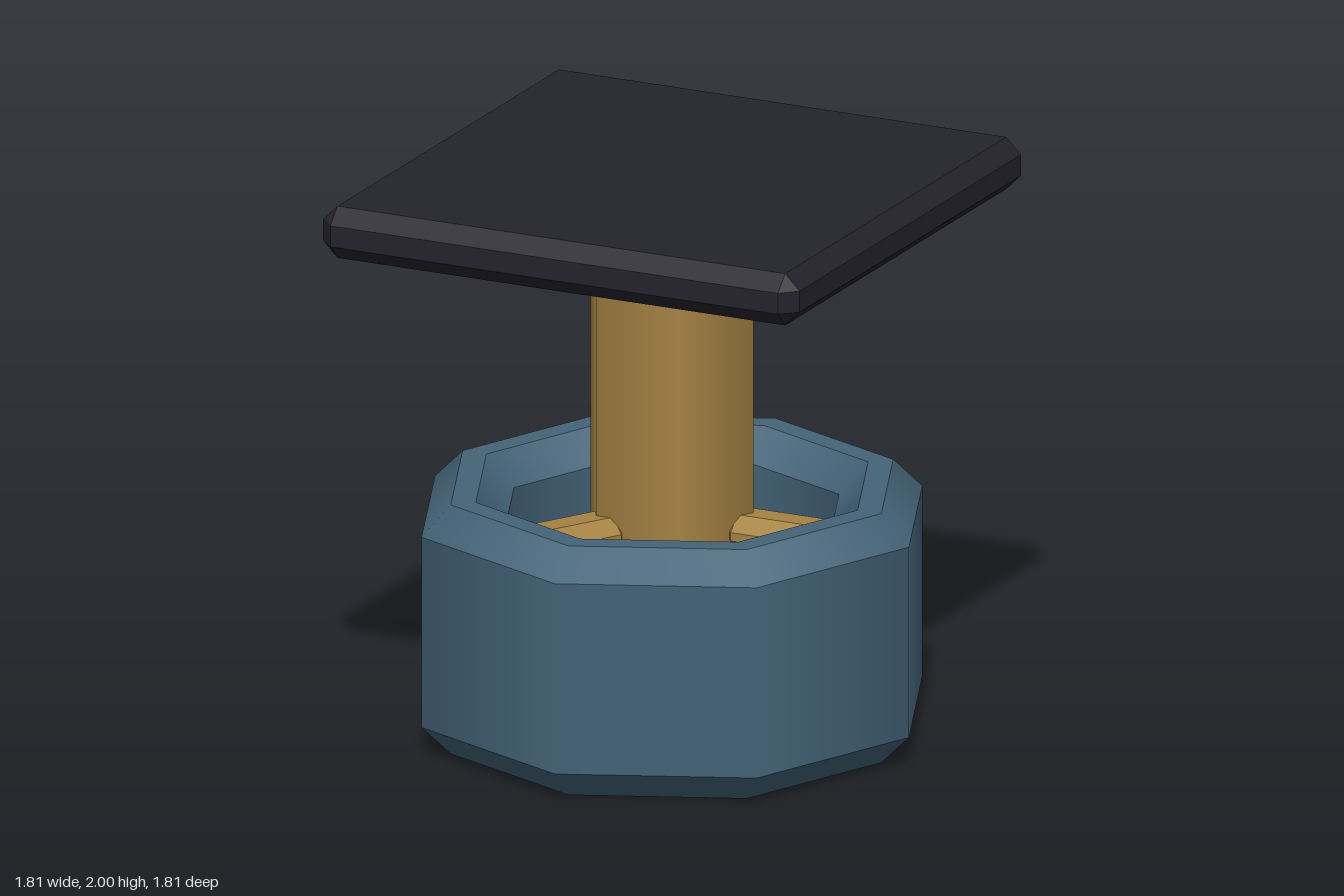
import * as THREE from 'three';
import { mergeGeometries } from 'three/addons/utils/BufferGeometryUtils.js';
import { ConvexGeometry } from 'three/addons/geometries/ConvexGeometry.js';

const material = (name, color) => {
  const m = new THREE.MeshStandardMaterial({ color });
  m.name = name;
  return m;
};

// Box with all edges and corners cut by c
function chamferBox(w, h, d, c) {
  const pts = [];
  for (const sx of [-1, 1]) for (const sy of [-1, 1]) for (const sz of [-1, 1]) {
    const x = w / 2, y = h / 2, z = d / 2;
    pts.push(
      new THREE.Vector3(sx * x, sy * (y - c), sz * (z - c)),
      new THREE.Vector3(sx * (x - c), sy * y, sz * (z - c)),
      new THREE.Vector3(sx * (x - c), sy * (y - c), sz * z));
  }
  return new ConvexGeometry(pts);
}

// Prism turned from a profile: smooth around the axis, sharp between profile segments
function turned(profile, sides, start = 0) {
  const bands = [];
  for (let i = 0; i < profile.length - 1; i++) {
    const pair = [profile[i], profile[i + 1]].map(([r, y]) => new THREE.Vector2(r, y));
    bands.push(new THREE.LatheGeometry(pair, sides, start));
  }
  return mergeGeometries(bands);
}

export function createModel() {
  const model = new THREE.Group();
  const blue = material('slate blue', 0x446478);
  const gold = material('brass', 0xa68343);
  const dark = material('charcoal', 0x24232d);

  const add = (name, geometry, mat, x = 0, y = 0, z = 0, parent = model) => {
    const mesh = new THREE.Mesh(geometry, mat);
    mesh.name = name;
    mesh.position.set(x, y, z);
    parent.add(mesh);
    return mesh;
  };

  // Octagonal hollow housing with chamfered rims
  add('housing', turned([
    [0.795, 0], [0.9, 0.105], [0.9, 0.785], [0.795, 0.89],
    [0.705, 0.89], [0.6, 0.785], [0.6, 0.105], [0.705, 0], [0.795, 0],
  ], 8), blue);

  // Floor grille: parallel slats running left to right
  const grille = new THREE.Group();
  grille.name = 'grille';
  model.add(grille);
  for (let i = -2; i <= 2; i++) {
    const z = i * 0.22;
    const half = Math.abs(i) === 2 ? 0.42 : 0.63 - 0.41 * Math.abs(z);
    add('slat', chamferBox(half * 2, 0.11, 0.17, 0.025), blue, 0, 0.13, z, grille);
  }

  // Hexagonal stem
  add('stem', turned([
    [0, 0.19], [0.255, 0.19], [0.31, 0.245], [0.31, 1.765], [0.25, 1.82], [0, 1.82],
  ], 6, Math.PI / 2), gold);

  // Three spokes joining the stem to the housing
  for (let i = 0; i < 3; i++) {
    const spoke = new THREE.Group();
    spoke.name = 'spoke';
    spoke.rotation.y = i * Math.PI * 2 / 3;
    add('spokeBar', chamferBox(0.44, 0.13, 0.19, 0.05), gold, 0.44, 0.76, 0, spoke);
    model.add(spoke);
  }

  // Square top plate
  add('topPlate', chamferBox(1.81, 0.185, 1.81, 0.055), dark, 0, 1.9075, 0);

  return model;
}
